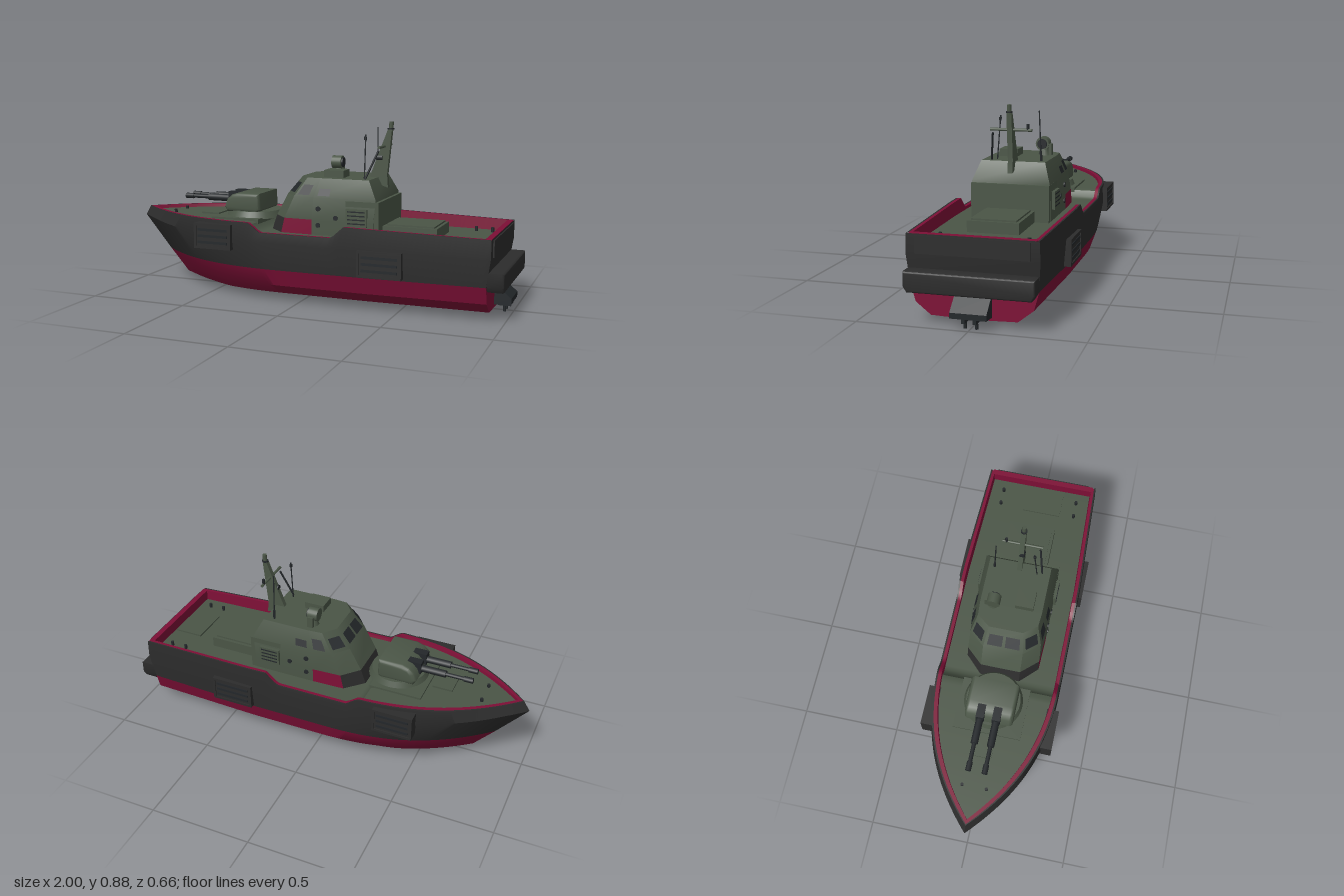
import * as THREE from 'three';
import { toCreasedNormals } from 'three/addons/utils/BufferGeometryUtils.js';

const mat = (name, color) => {
  const m = new THREE.MeshStandardMaterial({ color });
  m.name = name;
  return m;
};

export function createModel() {
  const boat = new THREE.Group();
  boat.name = 'patrolBoat';
  const green = mat('deck green', 0x4a5546);
  const black = mat('hull black', 0x2c2c2c);
  const red = mat('hull red', 0x7d0f36);
  const dark = mat('gunmetal', 0x23272a);

  const add = (name, geo, m, x = 0, y = 0, z = 0) => {
    const mesh = new THREE.Mesh(geo, m);
    mesh.name = name;
    mesh.position.set(x, y, z);
    boat.add(mesh);
    return mesh;
  };
  // Box given by its limits
  const box = (name, m, x0, x1, y0, y1, z0, z1) =>
    add(name, new THREE.BoxGeometry(x1 - x0, y1 - y0, z1 - z0), m, (x0 + x1) / 2, (y0 + y1) / 2, (z0 + z1) / 2);
  // Round bar between two points
  const bar = (name, m, a, b, r0, r1 = r0, sides = 10) => {
    const p = new THREE.Vector3(...a), q = new THREE.Vector3(...b), d = q.clone().sub(p);
    const mesh = add(name, new THREE.CylinderGeometry(r1, r0, d.length(), sides), m);
    mesh.position.copy(p).add(q).multiplyScalar(0.5);
    mesh.quaternion.setFromUnitVectors(new THREE.Vector3(0, 1, 0), d.normalize());
    return mesh;
  };
  // Side profile in x and y, extruded over z
  const slab = (name, m, pts, half, bevel = 0) => {
    const geo = new THREE.ExtrudeGeometry(new THREE.Shape(pts.map(p => new THREE.Vector2(...p))), {
      depth: 2 * (half - bevel), bevelEnabled: bevel > 0, bevelSize: bevel, bevelOffset: -bevel, bevelThickness: bevel, bevelSegments: 3,
    });
    geo.translate(0, 0, bevel - half);
    return add(name, toCreasedNormals(geo, 0.6), m);
  };
  const quad = (out, a, b, c, d) => out.push(...a, ...b, ...c, ...a, ...c, ...d);
  const surface = (name, m, data) => {
    const geo = new THREE.BufferGeometry();
    geo.setAttribute('position', new THREE.Float32BufferAttribute(data, 3));
    return add(name, toCreasedNormals(geo, 0.6), m);
  };

  // Hull: rows of points from keel to deck, lofted and mirrored
  const ramp = (x, x0, x1) => Math.min(1, Math.max(0, (x - x0) / (x1 - x0)));
  const sheer = x => 0.39 - 0.045 * ramp(x, -0.24, -0.18) + 0.055 * ramp(x, 0.19, 0.25) - 0.015 * ramp(x, 0.25, 0.94);
  const deckY = x => 0.374 - 0.042 * ramp(x, -0.26, -0.23);
  const row = (stem, end, width, len, y) => t => {
    const x = stem + (end - stem) * t;
    const plan = 1 - Math.pow(1 - ramp(x, stem, stem + len), 2.5);
    return [x, y(x), width * plan * (1 - 0.07 * ramp(x, 0.35, 0.94))];
  };
  const bottom = x => 0.025 + 0.02 * ramp(x, -0.4, -0.75);
  const keel = row(-0.745, 0.92, 0, 0.8, bottom);
  const floor = row(-0.75, 0.92, 0.205, 0.7, x => bottom(x) + 0.006);
  const chine = row(-0.78, 0.92, 0.278, 0.78, () => 0.085);
  const water = row(-0.852, 0.92, 0.302, 0.8, () => 0.166);
  const knuckle = row(-1, 0.94, 0.314, 0.82, x => 0.3 + 0.04 * ramp(x, -0.3, -0.9));
  const rail = row(-0.97, 0.94, 0.31, 0.8, sheer);
  const lip = row(-0.963, 0.935, 0.302, 0.8, sheer);
  const inner = row(-0.94, 0.92, 0.286, 0.8, sheer);
  const deck = row(-0.938, 0.92, 0.283, 0.8, deckY);
  const centre = t => { const p = deck(t); return [p[0], p[1], 0]; };

  const loft = (name, m, rows, stern) => {
    const data = [], n = 90, flip = p => [p[0], p[1], -p[2]];
    for (let j = 0; j < rows.length - 1; j++) {
      for (let i = 0; i < n; i++) {
        const t = Math.pow(i / n, 1.2), u = Math.pow((i + 1) / n, 1.2);
        const a = rows[j](t), b = rows[j](u), c = rows[j + 1](u), d = rows[j + 1](t);
        quad(data, a, b, c, d);
        quad(data, flip(d), flip(c), flip(b), flip(a));
      }
      const p = rows[j](1), q = rows[j + 1](1);
      if (stern) quad(data, p, flip(p), flip(q), q);
    }
    surface(name, m, data);
  };
  loft('lowerHull', red, [keel, floor, chine, water], true);
  loft('upperHull', black, [water, knuckle, rail], true);
  loft('railEdge', black, [rail, lip]);
  loft('bulwarkLining', red, [lip, inner, deck]);
  loft('deck', green, [deck, centre]);
  box('sternBulwark', red, 0.91, 0.938, 0.32, 0.386, -0.275, 0.275);

  // Stern platform, drive housing and fins
  const platform = slab('sternPlatform', black, [[-0.27, 0.145], [0.27, 0.145], [0.285, 0.17], [0.285, 0.235], [-0.285, 0.235], [-0.285, 0.17]], 0.04, 0.008);
  platform.rotation.y = Math.PI / 2;
  platform.position.x = 0.96;
  box('transomPanel', black, 0.93, 0.947, 0.3, 0.378, -0.25, 0.25);
  slab('driveHousing', dark, [[0.9, 0.135], [0.93, 0.135], [1, 0.075], [1, 0.05], [0.9, 0.04]], 0.08);
  for (const s of [-1, 1]) {
    box('steeringFin', dark, 0.93, 0.99, 0.028, 0.06, s * 0.025 - 0.008, s * 0.025 + 0.008);
    bar('finTip', dark, [0.96, 0, s * 0.025], [0.96, 0.04, s * 0.025], 0.007);

    // Louvred boxes on the hull sides
    for (const [x0, x1, y0, y1] of [[-0.525, -0.325, 0.25, 0.375], [0.325, 0.54, 0.175, 0.3]]) {
      const zc = s * 0.3;
      box('sideVent', black, x0, x1, y0, y1, zc - 0.025, zc + 0.025);
      for (const y of [y0 + 0.006, y1 - 0.006]) box('ventFrame', black, x0, x1, y - 0.006, y + 0.006, zc - 0.03, zc + 0.03);
      for (const x of [x0 + 0.006, x1 - 0.006]) box('ventFrame', black, x - 0.006, x + 0.006, y0, y1, zc - 0.03, zc + 0.03);
      for (let i = 1; i < 4; i++) {
        const y = y0 + (y1 - y0) * i / 4;
        box('ventSlat', dark, x0 + 0.02, x1 - 0.02, y - 0.006, y + 0.006, zc - 0.029, zc + 0.029);
      }
    }
  }

  // Wheelhouse: half outlines from nose to rear at four heights
  const ring = (y, nose, fw, corner, cw, mid, rear, w) =>
    [[nose, y, fw], [corner, y, cw], [mid, y, w], [rear, y, w]];
  const levels = [
    ring(0.32, -0.205, 0.1, -0.12, 0.185, 0.045, 0.36, 0.19),
    ring(0.405, -0.175, 0.1, -0.1, 0.183, 0.045, 0.36, 0.19),
    ring(0.515, -0.115, 0.1, -0.05, 0.178, 0.055, 0.37, 0.187),
    ring(0.605, -0.04, 0.085, 0.01, 0.15, 0.08, 0.325, 0.155),
  ].map(h => [...h, ...h.slice().reverse().map(p => [p[0], p[1], -p[2]])]);
  const parts = new Map([[green, []], [black, []], [red, []]]);
  const facet = (j, k) => [levels[j][k], levels[j][(k + 1) % 8], levels[j + 1][(k + 1) % 8], levels[j + 1][k]];
  for (let j = 0; j < 3; j++) for (let k = 0; k < 8; k++) {
    const front = k === 0 || k === 6 || k === 7, side = k === 1 || k === 5;
    quad(parts.get(j ? green : front ? black : side ? red : green), ...facet(j, k));
  }
  for (let k = 0; k < 3; k++) quad(parts.get(green), levels[3][k], levels[3][k + 1], levels[3][6 - k], levels[3][7 - k]);
  for (const [m, data] of parts) surface(m === green ? 'wheelhouse' : m === black ? 'wheelhouseFrontBand' : 'wheelhouseSidePatch', m, data);

  // Windows laid just over the upper facets
  const pane = (name, j, k, u0, u1, v0, v1) => {
    const [a, b, c, d] = facet(j, k).map(p => new THREE.Vector3(...p));
    const normal = b.clone().sub(a).cross(d.clone().sub(a)).normalize().multiplyScalar(0.004);
    const at = (u, v) => a.clone().lerp(b, u).lerp(d.clone().lerp(c, u), v).add(normal).toArray();
    const data = [];
    quad(data, at(u0, v0), at(u1, v0), at(u1, v1), at(u0, v1));
    surface(name, dark, data);
  };
  for (const k of [0, 6]) pane('cornerWindow', 2, k, 0.15, 0.85, 0.15, 0.68);
  for (const [u0, u1] of [[0.08, 0.46], [0.54, 0.92]]) pane('frontWindow', 2, 7, u0, u1, 0.15, 0.68);
  for (const k of [1, 5]) pane('sideWindow', 2, k, 0.15, 0.75, 0.08, 0.62);
  pane('doorWindow', 2, 2, 0.06, 0.26, 0.08, 0.45);
  pane('doorWindow', 2, 4, 0.74, 0.94, 0.08, 0.45);

  // Aft block, side louvres and portholes
  box('aftBlock', green, 0.22, 0.385, 0.32, 0.505, -0.188, 0.188);
  for (const s of [-1, 1]) {
    box('louvreBox', green, 0.225, 0.33, 0.385, 0.47, s * 0.195 - 0.008, s * 0.195 + 0.008);
    for (let i = 0; i < 4; i++) box('louvreSlat', dark, 0.235, 0.32, 0.397 + i * 0.019, 0.403 + i * 0.019, s * 0.201 - 0.004, s * 0.201 + 0.004);
    for (const [x, y] of [[0.08, 0.46], [0.08, 0.38], [0.17, 0.42]])
      bar('porthole', dark, [x, y, s * 0.185], [x, y, s * 0.195], 0.012);
  }

  // Roof fittings
  box('roofHatch', green, 0.08, 0.18, 0.6, 0.64, 0.02, 0.11);
  bar('radarPedestal', green, [0.085, 0.6, -0.09], [0.085, 0.65, -0.09], 0.032, 0.016);
  bar('radarDrum', green, [0.055, 0.66, -0.085], [0.105, 0.66, -0.085], 0.033, 0.033, 20);
  bar('radarLens', dark, [0.105, 0.66, -0.085], [0.112, 0.66, -0.085], 0.024, 0.024, 20);
  box('radarBracket', green, 0.07, 0.1, 0.6, 0.66, -0.13, -0.115);

  // Mast, yard and aerials
  slab('mast', green, [[0.275, 0.59], [0.375, 0.555], [0.37, 0.62], [0.392, 0.84], [0.372, 0.84]], 0.012);
  bar('mastHead', green, [0.384, 0.83, 0], [0.386, 0.876, 0], 0.011);
  bar('mastCollar', dark, [0.383, 0.838, 0], [0.383, 0.845, 0], 0.016);
  bar('yard', green, [0.355, 0.757, -0.1], [0.355, 0.757, 0.1], 0.007);
  bar('yardLamp', dark, [0.355, 0.757, -0.08], [0.355, 0.785, -0.08], 0.007);
  bar('mastLamp', dark, [0.315, 0.7, 0.005], [0.345, 0.7, 0.005], 0.014);
  bar('aerial', dark, [0.28, 0.6, 0.09], [0.28, 0.815, 0.072], 0.003);
  bar('aerialTip', dark, [0.28, 0.79, 0.075], [0.28, 0.805, 0.074], 0.007);
  bar('leaningAerial', dark, [0.29, 0.6, 0.115], [0.35, 0.74, 0.09], 0.005);
  bar('whipAerial', dark, [0.28, 0.6, -0.125], [0.28, 0.84, -0.115], 0.003);
  bar('aerialBase', dark, [0.28, 0.59, -0.125], [0.28, 0.65, -0.123], 0.006);

  // Twin gun turret
  box('turretPlate', green, -0.51, -0.25, 0.36, 0.384, -0.17, 0.17);
  add('turretRing', new THREE.CylinderGeometry(0.135, 0.15, 0.035, 32), green, -0.34, 0.395, 0);
  slab('turret', green, [[-0.45, 0.405], [-0.465, 0.43], [-0.45, 0.47], [-0.425, 0.492], [-0.39, 0.503], [-0.27, 0.503], [-0.265, 0.42], [-0.28, 0.405]], 0.12, 0.018);
  for (const z of [-0.04, 0.04]) {
    bar('gunBarrel', dark, [-0.725, 0.463, z], [-0.42, 0.463, z], 0.01);
    bar('barrelSleeve', dark, [-0.59, 0.463, z], [-0.42, 0.463, z], 0.018);
    bar('muzzle', dark, [-0.725, 0.463, z], [-0.68, 0.463, z], 0.014);
    box('gunSlot', dark, -0.469, -0.38, 0.44, 0.5, z - 0.02, z + 0.02);
  }

  // Deck fittings
  box('foredeckHatch', green, -0.63, -0.53, 0.36, 0.383, -0.05, 0.05);
  box('engineHatch', green, 0.385, 0.65, 0.32, 0.385, -0.12, 0.12);
  box('engineHatchLid', green, 0.4, 0.635, 0.385, 0.393, -0.105, 0.105);
  box('aftHatch', green, 0.755, 0.9, 0.32, 0.34, -0.075, 0.125);
  for (const s of [-1, 1]) for (const x of [-0.78, 0.77, 0.85])
    bar('bollard', dark, [x, 0.32, s * (x < 0 ? 0.06 : 0.2)], [x, x < 0 ? 0.39 : 0.355, s * (x < 0 ? 0.06 : 0.2)], 0.008);
  return boat;
}
